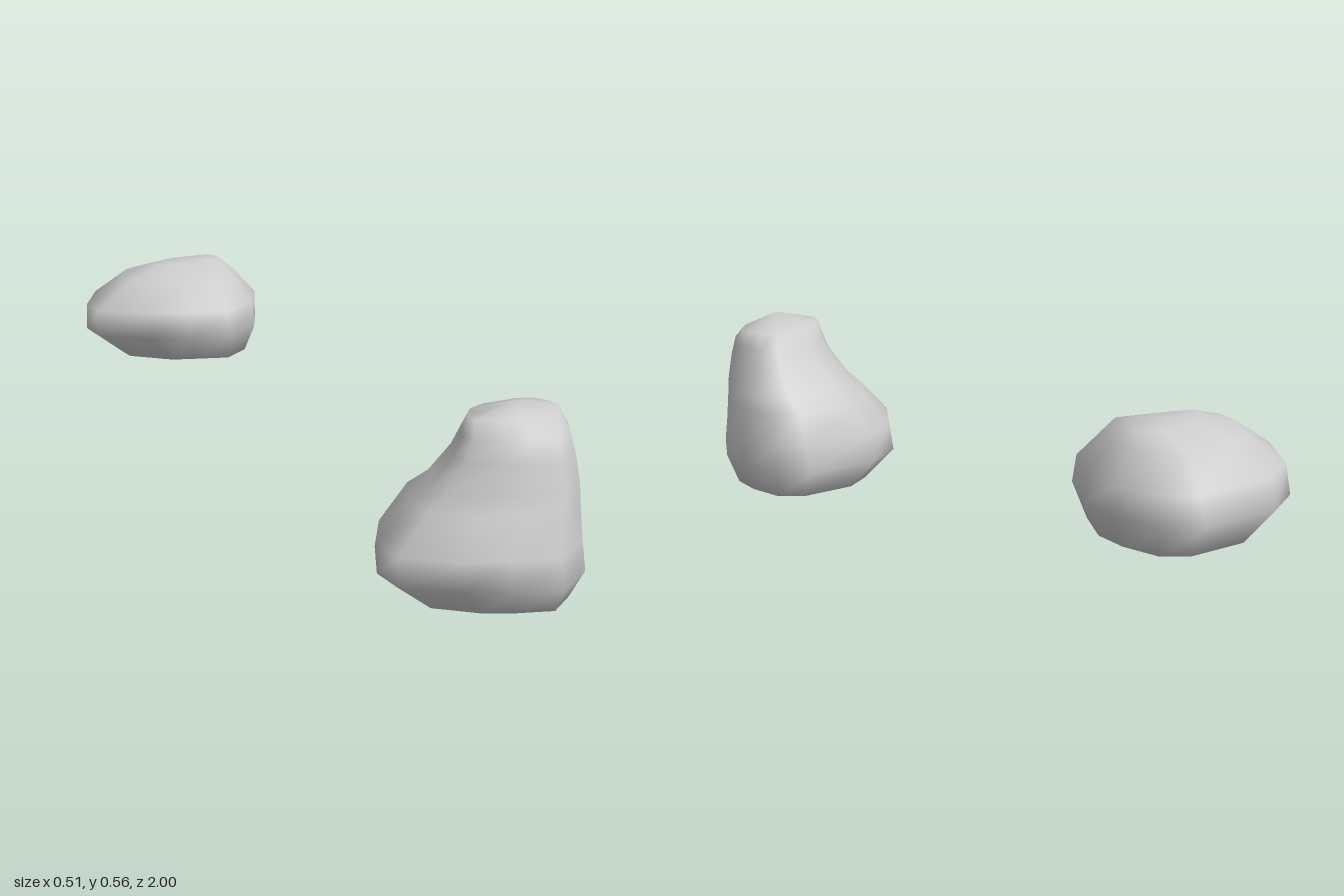
import * as THREE from 'three';

// Irregular plan outline shared by all rings, counterclockwise from above (x, z)
const OUTLINE = [
  [-0.05, 0.49], [-0.155, 0.54], [-0.25, 0.69], [-0.26, 0.79], [-0.155, 0.9], [-0.06, 0.955],
  [0.05, 1], [0.165, 0.93], [0.245, 0.8], [0.255, 0.69], [0.23, 0.57], [0.155, 0.51],
];
const fit = (v, a0, a1, b0, b1) => b0 + ((v - a0) / (a1 - a0)) * (b1 - b0);

// Rings from bottom to top: [y, xMin, xMax, zMin, zMax]
const BASE = [
  [0.01, -0.05, 0.06, 0.64, 0.78],
  [0.042, -0.155, 0.228, 0.535, 0.935],
  [0.12, -0.26, 0.254, 0.49, 1],
  [0.19, -0.26, 0.255, 0.51, 0.98],
];
const TALL_TOP = [
  [0.28, -0.175, 0.24, 0.537, 0.957],
  [0.32, -0.14, 0.23, 0.59, 0.947],
  [0.39, -0.095, 0.212, 0.64, 0.927],
  [0.44, -0.075, 0.198, 0.665, 0.91],
  [0.48, -0.058, 0.185, 0.69, 0.86],
];
const LOW_TOP = [
  [0.26, -0.155, 0.19, 0.59, 0.905],
  [0.293, -0.05, 0.155, 0.69, 0.8],
];

// Smooth boulder lofted through the rings and closed by a point at each end
function boulder(name, rings, bottom, top) {
  const n = OUTLINE.length;
  const pos = [];
  const index = [];
  for (const [y, x0, x1, z0, z1] of rings) {
    for (const [x, z] of OUTLINE) {
      pos.push(fit(x, -0.26, 0.255, x0, x1), y, fit(z, 0.49, 1, z0, z1));
    }
  }
  pos.push(...bottom, ...top);
  const low = rings.length * n;
  const last = low - n;
  for (let i = 0; i < n; i++) {
    const j = (i + 1) % n;
    for (let r = 0; r < last; r += n) {
      index.push(r + i, r + j, r + n + j, r + i, r + n + j, r + n + i);
    }
    index.push(low, j, i, last + i, last + j, low + 1);
  }
  const geometry = new THREE.BufferGeometry();
  geometry.setAttribute('position', new THREE.Float32BufferAttribute(pos, 3));
  geometry.setIndex(index);
  geometry.computeVertexNormals();
  const mesh = new THREE.Mesh(geometry, new THREE.MeshStandardMaterial({ color: 0xcccccc, side: THREE.DoubleSide }));
  mesh.name = name;
  return mesh;
}

export function createModel() {
  const group = new THREE.Group();
  group.name = 'boulders';

  // Tall boulder at the front, standing on the ground
  group.add(boulder('tallBoulder', [...BASE, ...TALL_TOP], [0, 0, 0.7], [0.06, 0.512, 0.8]));

  // Low boulder at the back, raised
  const low = boulder('lowBoulder', [...BASE, ...LOW_TOP], [0, 0, 0.7], [0.05, 0.295, 0.745]);
  low.position.set(0, 0.262, -1.49);
  group.add(low);
  return group;
}
